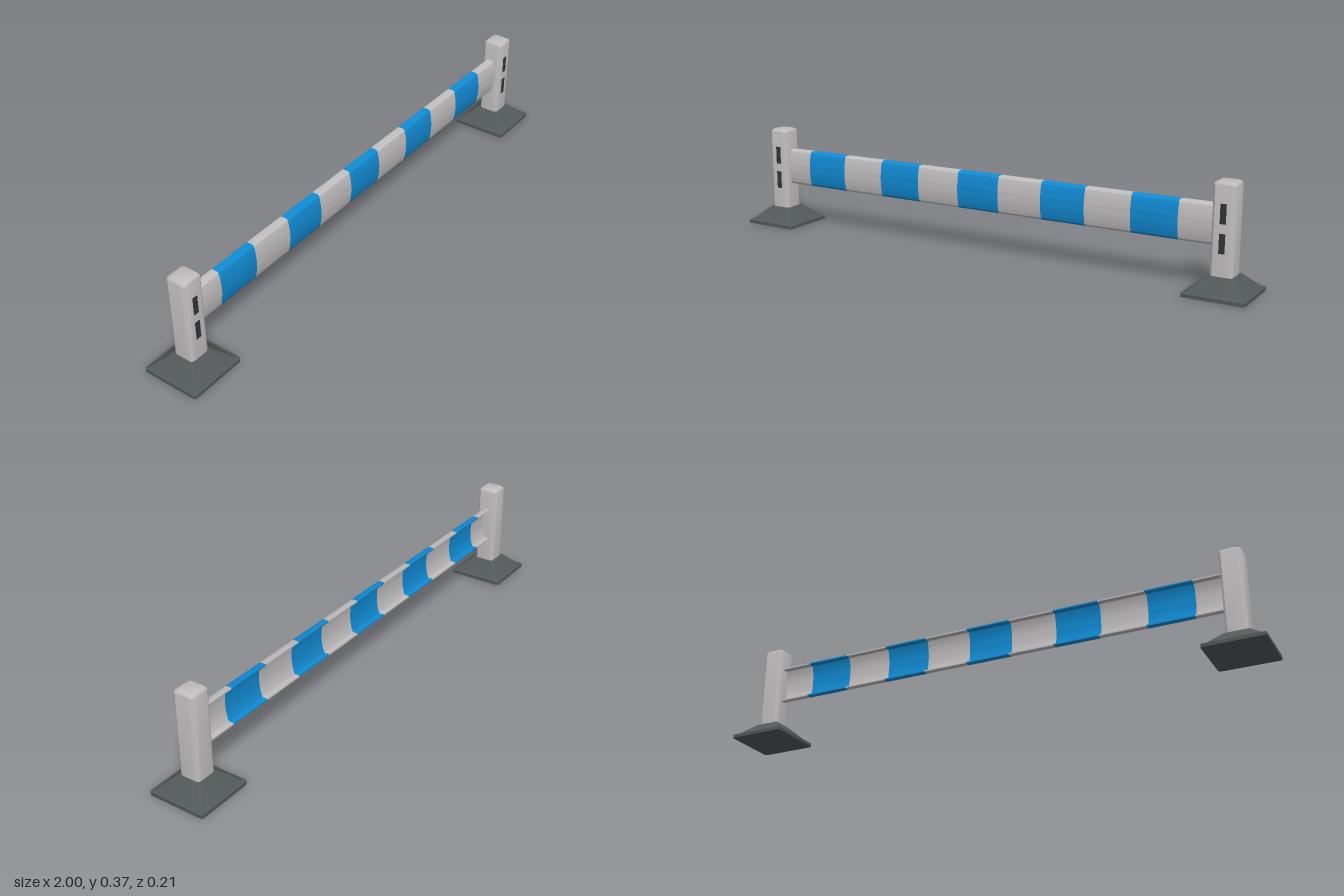
import * as THREE from 'three';
import { toCreasedNormals } from 'three/addons/utils/BufferGeometryUtils.js';

const mat = (name, color) => {
  const m = new THREE.MeshStandardMaterial({ color });
  m.name = name;
  return m;
};

// Stack of rounded squares, each ring = [half width, corner radius, y]
function loftSquares(rings, crease) {
  const steps = 4, n = 4 * (steps + 1), pos = [], idx = [];
  for (const [h, r, y] of rings) {
    for (let c = 0; c < 4; c++) {
      for (let s = 0; s <= steps; s++) {
        const a = (c + s / steps) * Math.PI / 2;
        const mid = (c + 0.5) * Math.PI / 2;
        const cx = Math.sign(Math.cos(mid)) * (h - r), cz = Math.sign(Math.sin(mid)) * (h - r);
        pos.push(cx + r * Math.cos(a), y, cz + r * Math.sin(a));
      }
    }
  }
  for (let k = 0; k < rings.length - 1; k++) {
    for (let i = 0; i < n; i++) {
      const a = k * n + i, b = k * n + (i + 1) % n;
      idx.push(a, a + n, b, b, a + n, b + n);
    }
  }
  // End caps
  const top = (rings.length - 1) * n;
  for (let i = 1; i < n - 1; i++) {
    idx.push(0, i, i + 1);
    idx.push(top, top + i + 1, top + i);
  }
  const g = new THREE.BufferGeometry();
  g.setAttribute('position', new THREE.Float32BufferAttribute(pos, 3));
  g.setIndex(idx);
  return toCreasedNormals(g, crease);
}

// Thin channel section: bowed face to the front, lips turned to the back
function railSection() {
  const outline = (t) => {
    const pts = [new THREE.Vector2(0.018, 0.067 - t)];
    const curve = new THREE.SplineCurve([
      [-0.002, 0.067 - t], [-0.009 + t, 0.062 - t], [-0.015 + t, 0.035], [-0.018 + t, 0],
      [-0.015 + t, -0.035], [-0.009 + t, -0.062 + t], [-0.002, -0.067 + t],
    ].map(([x, y]) => new THREE.Vector2(x, y)));
    pts.push(...curve.getPoints(24), new THREE.Vector2(0.018, -0.067 + t));
    return pts;
  };
  return new THREE.Shape([...outline(0), ...outline(0.005).reverse()]);
}

export function createModel() {
  const grey = mat('light grey', 0xc0bdbf);
  const blue = mat('blue', 0x118ad2);
  const dark = mat('dark grey', 0x535958);
  const slotMat = mat('slot black', 0x333536);
  const model = new THREE.Group();
  model.name = 'barrier';

  const add = (parent, name, geometry, material, x = 0, y = 0, z = 0) => {
    const mesh = new THREE.Mesh(geometry, material);
    mesh.name = name;
    mesh.position.set(x, y, z);
    parent.add(mesh);
  };

  // Posts with their feet and slots
  const foot = loftSquares([
    [0.105, 0.008, 0], [0.105, 0.008, 0.012], [0.093, 0.008, 0.017],
    [0.046, 0.008, 0.061], [0.04, 0.008, 0.063],
  ], 0.35);
  const column = loftSquares([
    [0.038, 0.012, 0.05], [0.038, 0.012, 0.358], [0.035, 0.011, 0.363], [0.028, 0.009, 0.368],
  ], 0.6);
  const slot = new THREE.BoxGeometry(0.02, 0.065, 0.004);
  for (const side of [-1, 1]) {
    const post = new THREE.Group();
    post.name = side < 0 ? 'rightPost' : 'leftPost';
    post.position.x = side * 0.895;
    add(post, 'foot', foot, dark);
    add(post, 'column', column, grey);
    add(post, 'upperSlot', slot, slotMat, 0, 0.267, 0.037);
    add(post, 'lowerSlot', slot, slotMat, 0, 0.171, 0.037);
    model.add(post);
  }

  // Striped rail, built segment by segment
  const rail = new THREE.Group();
  rail.name = 'rail';
  rail.position.y = 0.222;
  const section = railSection();
  const cuts = [-0.865];
  for (let i = 0; i < 5; i++) cuts.push(-0.759 + i * 0.333, -0.594 + i * 0.333);
  cuts.push(0.865);
  for (let i = 0; i < cuts.length - 1; i++) {
    const flat = new THREE.ExtrudeGeometry(section, { depth: cuts[i + 1] - cuts[i], bevelEnabled: false });
    flat.rotateY(Math.PI / 2);
    add(rail, i % 2 ? 'blueStripe' : 'greyStripe', toCreasedNormals(flat, 0.8), i % 2 ? blue : grey, cuts[i]);
  }
  model.add(rail);
  return model;
}
